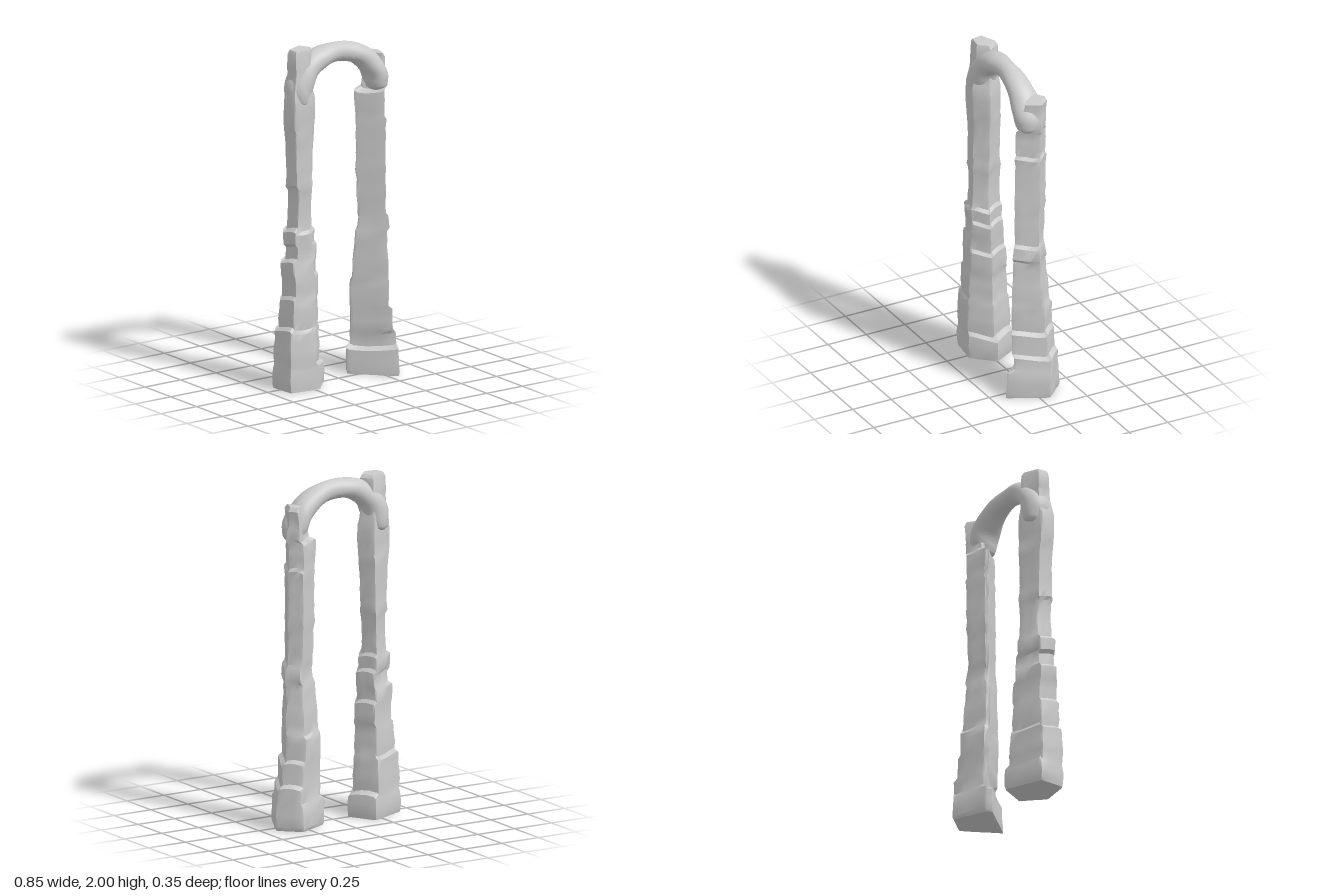
import * as THREE from 'three';
import { toCreasedNormals } from 'three/addons/utils/BufferGeometryUtils.js';

const material = new THREE.MeshStandardMaterial({ color: 0xcccccc });

function randomiser(seed) {
  return () => {
    seed = (seed * 16807) % 2147483647;
    return seed / 2147483647;
  };
}

// Skin a list of equal-sized rings and close both ends
function loft(rings, crease) {
  const n = rings[0].length;
  const positions = [], index = [];
  rings.forEach(r => r.forEach(p => positions.push(p.x, p.y, p.z)));
  for (let k = 0; k < rings.length - 1; k++) {
    for (let i = 0; i < n; i++) {
      const a = k * n + i, b = k * n + (i + 1) % n;
      index.push(a, b, b + n, a, b + n, a + n);
    }
  }
  [0, rings.length - 1].forEach((k, end) => {
    const c = new THREE.Vector3();
    rings[k].forEach(p => c.addScaledVector(p, 1 / n));
    const centre = positions.length / 3;
    positions.push(c.x, c.y, c.z);
    for (let i = 0; i < n; i++) {
      const a = k * n + i, b = k * n + (i + 1) % n;
      if (end) index.push(a, b, centre);
      else index.push(b, a, centre);
    }
  });
  const g = new THREE.BufferGeometry();
  g.setAttribute('position', new THREE.Float32BufferAttribute(positions, 3));
  g.setIndex(index);
  return toCreasedNormals(g, crease);
}

// Plan polygon in a unit square: softened corners plus points along each side
function unitPlan(corners) {
  const box = new THREE.Box2().setFromPoints(corners.map(c => new THREE.Vector2(...c)));
  const size = box.getSize(new THREE.Vector2());
  const pts = corners.map(([x, z]) => new THREE.Vector2((x - box.min.x) / size.x, (z - box.min.y) / size.y));
  const out = [];
  pts.forEach((p, i) => {
    const q = pts[(i + 1) % pts.length];
    const prev = pts[(i + pts.length - 1) % pts.length];
    const mid = p.clone().lerp(prev, 0.06).add(p.clone().lerp(q, 0.06)).multiplyScalar(0.5);
    out.push(mid.lerp(p, 0.6));
    for (const t of [0.07, 0.35, 0.65, 0.93]) out.push(p.clone().lerp(q, t));
  });
  return out;
}

// Rough masonry pillar; levels are [y, xMin, xMax, zMin, zMax]
function pillar(name, corners, levels, seed) {
  const rnd = randomiser(seed);
  const plan = unitPlan(corners);
  const top = levels[levels.length - 1][0];
  const rows = [];
  levels.forEach((l, i) => {
    rows.push(l);
    const next = levels[i + 1];
    if (!next) return;
    const steps = Math.floor((next[0] - l[0]) / 0.045);
    for (let s = 1; s < steps; s++) rows.push(l.map((v, j) => v + (next[j] - v) * s / steps));
  });
  const rings = rows.map(([y, x0, x1, z0, z1]) => {
    const inset = (rnd() - 0.4) * 0.008;
    return plan.map((p, i) => {
      const rough = inset + (rnd() - 0.5) * 0.004;
      const fade = Math.min(1, y / 0.1, (top - y) / 0.1);
      const wave = 0.011 * Math.sin(i * 0.9 + seed) * fade;
      return new THREE.Vector3(
        x0 + (x1 - x0) * p.x - (p.x - 0.5) * 2 * rough,
        y + wave,
        z0 + (z1 - z0) * p.y - (p.y - 0.5) * 2 * rough);
    });
  });
  const mesh = new THREE.Mesh(loft(rings, 0.55), material);
  mesh.name = name;
  return mesh;
}

// Smooth arch of varying thickness; stations are [x, y, radius in plane, radius in z]
function arch(stations) {
  const path = new THREE.CatmullRomCurve3(stations.map(s => new THREE.Vector3(s[0], s[1], 0)));
  const radii = new THREE.CatmullRomCurve3(stations.map(s => new THREE.Vector3(s[2], s[3], 0)));
  const rings = [];
  const count = 72, sides = 32;
  for (let k = 0; k <= count; k++) {
    const t = k / count;
    const c = path.getPoint(t), r = radii.getPoint(t), d = path.getTangent(t);
    const ring = [];
    for (let i = 0; i < sides; i++) {
      const a = i / sides * Math.PI * 2;
      const lump = 1 + 0.02 * Math.sin(t * 40 + 2 * a);
      const u = Math.cos(a) * r.x * lump;
      ring.push(new THREE.Vector3(c.x - d.y * u, c.y + d.x * u, Math.sin(a) * r.y * lump));
    }
    rings.push(ring);
  }
  const mesh = new THREE.Mesh(loft(rings, 1.2), material);
  mesh.name = 'arch';
  return mesh;
}

export function createModel() {
  const group = new THREE.Group();
  group.name = 'stoneArchway';

  // Taller pillar on the model's right
  group.add(pillar('rightPillar',
    [[-0.425, -0.06], [-0.41, 0.1], [-0.22, 0.125], [-0.1, 0], [-0.19, -0.16]], [
      [0, -0.415, -0.11, -0.15, 0.12],
      [0.02, -0.425, -0.1, -0.16, 0.125],
      [0.13, -0.425, -0.1, -0.16, 0.125],
      [0.15, -0.42, -0.14, -0.145, 0.12],
      [0.35, -0.42, -0.14, -0.14, 0.12],
      [0.37, -0.395, -0.15, -0.125, 0.11],
      [0.53, -0.39, -0.155, -0.12, 0.11],
      [0.55, -0.37, -0.15, -0.12, 0.105],
      [0.66, -0.375, -0.15, -0.115, 0.105],
      [0.68, -0.38, -0.17, -0.11, 0.1],
      [0.75, -0.385, -0.165, -0.11, 0.1],
      [0.77, -0.36, -0.16, -0.105, 0.1],
      [0.84, -0.355, -0.16, -0.1, 0.1],
      [0.86, -0.37, -0.18, -0.1, 0.095],
      [0.93, -0.37, -0.18, -0.1, 0.095],
      [0.95, -0.345, -0.2, -0.095, 0.085],
      [1.18, -0.34, -0.195, -0.09, 0.085],
      [1.2, -0.35, -0.19, -0.09, 0.085],
      [1.52, -0.36, -0.18, -0.088, 0.08],
      [1.54, -0.37, -0.172, -0.088, 0.085],
      [1.72, -0.368, -0.175, -0.085, 0.085],
      [1.75, -0.36, -0.185, -0.08, 0.075],
      [1.88, -0.345, -0.19, -0.08, 0.07],
      [1.9, -0.35, -0.18, -0.078, 0.068],
      [1.98, -0.345, -0.185, -0.072, 0.062],
      [2.0, -0.335, -0.2, -0.06, 0.055],
    ], 17));

  // Shorter pillar on the model's left
  group.add(pillar('leftPillar',
    [[0.09, -0.05], [0.305, 0.175], [0.425, -0.06], [0.31, -0.18], [0.11, -0.085]], [
      [0, 0.1, 0.415, -0.165, 0.17],
      [0.02, 0.09, 0.425, -0.178, 0.178],
      [0.15, 0.09, 0.425, -0.17, 0.165],
      [0.17, 0.118, 0.425, -0.165, 0.135],
      [0.24, 0.12, 0.42, -0.165, 0.13],
      [0.26, 0.12, 0.388, -0.155, 0.13],
      [0.38, 0.12, 0.382, -0.152, 0.128],
      [0.4, 0.115, 0.358, -0.15, 0.12],
      [0.54, 0.12, 0.355, -0.145, 0.12],
      [0.56, 0.125, 0.355, -0.13, 0.118],
      [0.7, 0.132, 0.345, -0.12, 0.112],
      [0.84, 0.14, 0.34, -0.108, 0.108],
      [0.86, 0.155, 0.345, -0.105, 0.115],
      [0.93, 0.155, 0.345, -0.1, 0.11],
      [0.95, 0.152, 0.33, -0.1, 0.1],
      [1.25, 0.148, 0.33, -0.108, 0.095],
      [1.5, 0.15, 0.335, -0.11, 0.095],
      [1.52, 0.145, 0.33, -0.11, 0.09],
      [1.67, 0.14, 0.33, -0.108, 0.088],
      [1.69, 0.185, 0.34, -0.1, 0.075],
      [1.75, 0.195, 0.34, -0.1, 0.075],
      [1.77, 0.205, 0.33, -0.1, 0.065],
      [1.86, 0.235, 0.335, -0.1, 0.045],
      [1.885, 0.24, 0.32, -0.09, 0.035],
    ], 91));

  // Rounded arch with bulbous ends resting on the pillars
  group.add(arch([
    [-0.285, 1.65, 0.02, 0.03],
    [-0.288, 1.69, 0.065, 0.08],
    [-0.28, 1.78, 0.078, 0.09],
    [-0.22, 1.875, 0.07, 0.08],
    [-0.12, 1.93, 0.062, 0.072],
    [0, 1.94, 0.056, 0.058],
    [0.12, 1.91, 0.06, 0.07],
    [0.21, 1.84, 0.066, 0.085],
    [0.255, 1.76, 0.068, 0.088],
    [0.265, 1.7, 0.062, 0.072],
    [0.265, 1.66, 0.02, 0.03],
  ]));
  return group;
}
